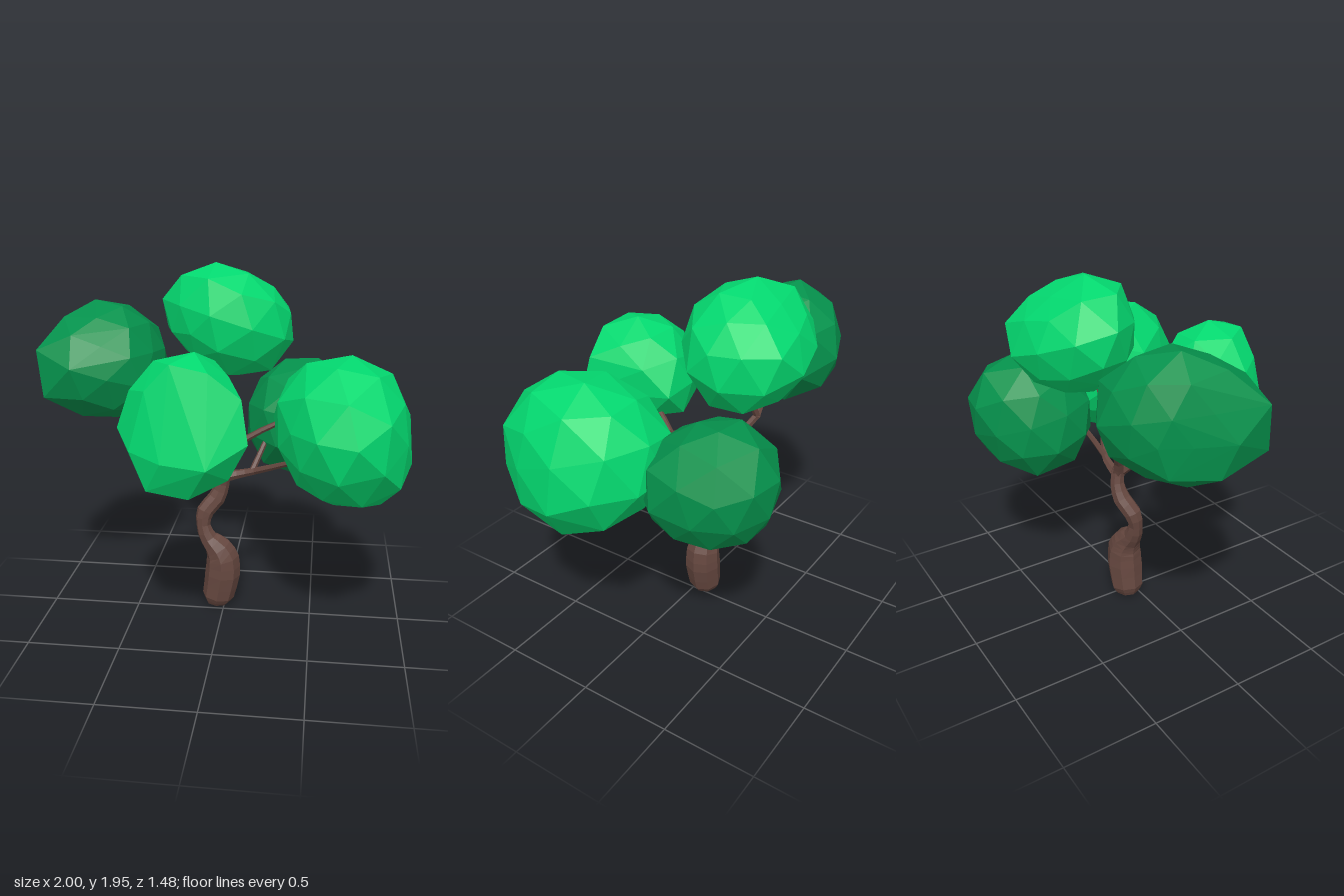
import * as THREE from 'three';
import { ConvexGeometry } from 'three/addons/geometries/ConvexGeometry.js';

const makeMaterial = (name, color) => {
  const m = new THREE.MeshStandardMaterial({ color, flatShading: true });
  m.name = name;
  return m;
};

// Tapered limb through points [x, y, z, radius]
function limbGeometry(points, sides, steps) {
  const curve = new THREE.CatmullRomCurve3(points.map(p => new THREE.Vector3(p[0], p[1], p[2])));
  // keep the rings in step with the listed points
  curve.getPointAt = curve.getPoint;
  curve.getTangentAt = curve.getTangent;
  const spans = points.length - 1;
  const rings = spans * steps;
  const geo = new THREE.TubeGeometry(curve, rings, 1, sides, false);
  const pos = geo.attributes.position;
  const v = new THREE.Vector3();
  for (let i = 0; i <= rings; i++) {
    const centre = curve.getPoint(i / rings);
    const k = Math.min(Math.floor(i / steps), spans - 1);
    const r = THREE.MathUtils.lerp(points[k][3], points[k + 1][3], i / steps - k);
    for (let j = 0; j <= sides; j++) {
      const n = i * (sides + 1) + j;
      v.fromBufferAttribute(pos, n).sub(centre).multiplyScalar(r).add(centre);
      pos.setXYZ(n, v.x, v.y, v.z);
    }
  }
  geo.computeVertexNormals();
  return geo;
}

// Diagonal directions, in the order + +, + -, - +, - - of each plane
const SIGNS = [[1, 1], [1, -1], [-1, 1], [-1, -1]];

// Faceted clump: an icosphere swollen or flattened until it reaches its box
// and, along each diagonal of the xy, zy and xz planes, the given reach
function foliageGeometry({ min, max, xy, zy, xz, seed }) {
  const low = new THREE.Vector3(...min);
  const high = new THREE.Vector3(...max);
  const centre = low.clone().add(high).multiplyScalar(0.5);
  const half = high.clone().sub(centre);
  const sphere = new THREE.IcosahedronGeometry(1, 1).rotateX(seed * 1.3).rotateZ(seed * 0.7);
  const pos = sphere.attributes.position;
  const points = [];
  for (let i = 0; i < pos.count; i++) points.push(new THREE.Vector3().fromBufferAttribute(pos, i).multiply(half));

  const limits = [];
  const limit = (x, y, z, reach) => {
    const dir = new THREE.Vector3(x, y, z);
    const length = dir.length();
    limits.push({ dir: dir.clone().divideScalar(length), reach: (reach - dir.dot(centre)) / length });
  };
  SIGNS.forEach(([a, b], i) => {
    limit(a, b, 0, xy[i]);
    limit(0, b, a, zy[i]);
    limit(a, 0, b, xz[i]);
  });
  for (const s of [1, -1]) {
    limit(s, 0, 0, s * centre.x + half.x);
    limit(0, s, 0, s * centre.y + half.y);
    limit(0, 0, s, s * centre.z + half.z);
  }
  for (let round = 0; round < 40; round++) {
    for (const { dir, reach } of limits) {
      const current = Math.max(...points.map(p => p.dot(dir)));
      for (const p of points) {
        const along = Math.max(0, p.dot(dir) / p.length());
        p.multiplyScalar(1 + (reach / current - 1) * along ** 4);
      }
    }
  }
  return new ConvexGeometry(points).translate(centre.x, centre.y, centre.z);
}

export function createModel() {
  const tree = new THREE.Group();
  tree.name = 'tree';
  const bark = makeMaterial('bark brown', 0x65473f);
  const light = makeMaterial('light leaf green', 0x03d86f);
  const dark = makeMaterial('dark leaf green', 0x05914c);

  const add = (name, geo, material) => {
    const mesh = new THREE.Mesh(geo, material);
    mesh.name = name;
    tree.add(mesh);
  };

  // Winding trunk with a swollen foot
  add('trunk', limbGeometry([
    [-0.04, 0.0, -0.06, 0], [-0.04, 0.015, -0.06, 0.065], [-0.035, 0.06, -0.06, 0.092],
    [-0.01, 0.2, -0.06, 0.102], [-0.01, 0.3, -0.06, 0.096], [-0.035, 0.36, -0.057, 0.08],
    [-0.09, 0.42, -0.055, 0.052], [-0.12, 0.5, -0.055, 0.04], [-0.11, 0.58, -0.07, 0.05],
    [-0.05, 0.65, -0.1, 0.05], [-0.015, 0.74, -0.11, 0.04], [-0.01, 0.82, -0.095, 0.038],
    [-0.015, 0.86, -0.09, 0],
  ], 8, 2), bark);

  // Branches
  const branches = {
    frontBranch: [[-0.01, 0.8, -0.09, 0.032], [-0.07, 0.87, -0.03, 0.026], [-0.135, 0.94, 0.04, 0.02],
      [-0.05, 0.985, 0.085, 0.018], [0.05, 1.03, 0.12, 0.019], [0.22, 1.13, 0.12, 0.016], [0.42, 1.23, 0.12, 0.012]],
    frontTwig: [[0.05, 1.03, 0.115, 0.018], [0.01, 1.07, 0.18, 0.016], [-0.04, 1.13, 0.28, 0.014]],
    leftBranch: [[-0.01, 0.78, -0.1, 0.034], [0.07, 0.8, -0.1, 0.026], [0.17, 0.83, -0.08, 0.02],
      [0.36, 0.92, 0.03, 0.015], [0.48, 0.98, 0.1, 0.012]],
    backTwig: [[0.15, 0.82, -0.085, 0.018], [0.19, 0.91, -0.13, 0.016], [0.26, 1.07, -0.22, 0.013]],
    backBranch: [[-0.01, 0.79, -0.1, 0.035], [-0.05, 0.88, -0.12, 0.026],
      [-0.14, 1.03, -0.2, 0.021], [-0.22, 1.14, -0.27, 0.02], [-0.24, 1.17, -0.27, 0]],
    rightTwig: [[-0.21, 1.13, -0.27, 0.019], [-0.29, 1.22, -0.265, 0.018],
      [-0.38, 1.32, -0.26, 0.018], [-0.385, 1.325, -0.26, 0]],
    topTwig: [[-0.22, 1.13, -0.27, 0.019], [-0.15, 1.26, -0.26, 0.016], [-0.07, 1.48, -0.28, 0.013]],
  };
  for (const [name, points] of Object.entries(branches)) add(name, limbGeometry(points, 6, 2), bark);

  // Leaf clumps
  add('topFoliage', foliageGeometry({
    min: [-0.38, 1.31, -0.66], max: [0.355, 1.95, -0.03], seed: 1,
    xy: [2.06, -1.13, 2.145, -1.2], zy: [1.755, -1.53, 2.345, -0.86], xz: [0.145, 0.83, 0.105, 0.835],
  }), light);
  add('frontFoliage', foliageGeometry({
    min: [-0.48, 0.92, 0.11], max: [0.19, 1.6, 0.735], seed: 2,
    xy: [1.565, -0.915, 1.84, -0.61], zy: [2.135, -0.29, 1.28, -1.23], xz: [0.81, -0.1, 0.97, 0.16],
  }), light);
  add('leftFoliage', foliageGeometry({
    min: [0.275, 0.78, -0.23], max: [1, 1.55, 0.665], seed: 3,
    xy: [2.33, 0.07, 1.07, -1.31], zy: [1.985, -0.385, 1.515, -0.81], xz: [1.41, 1.03, 0.1, -0.27],
  }), light);
  add('rightFoliage', foliageGeometry({
    min: [-1, 1.1, -0.55], max: [-0.355, 1.75, 0.19], seed: 4,
    xy: [1.19, -1.6, 2.55, -0.24], zy: [1.7, -1.125, 2.08, -0.755], xz: [-0.37, 0.065, 1.08, 1.25],
  }), dark);
  add('backFoliage', foliageGeometry({
    min: [0.1, 0.74, -0.74], max: [0.755, 1.4, -0.07], seed: 5,
    xy: [1.96, -0.19, 1.11, -1], zy: [1.12, -1, 2, -0.22], xz: [0.54, 1.28, -0.35, 0.42],
  }), dark);

  return tree;
}
